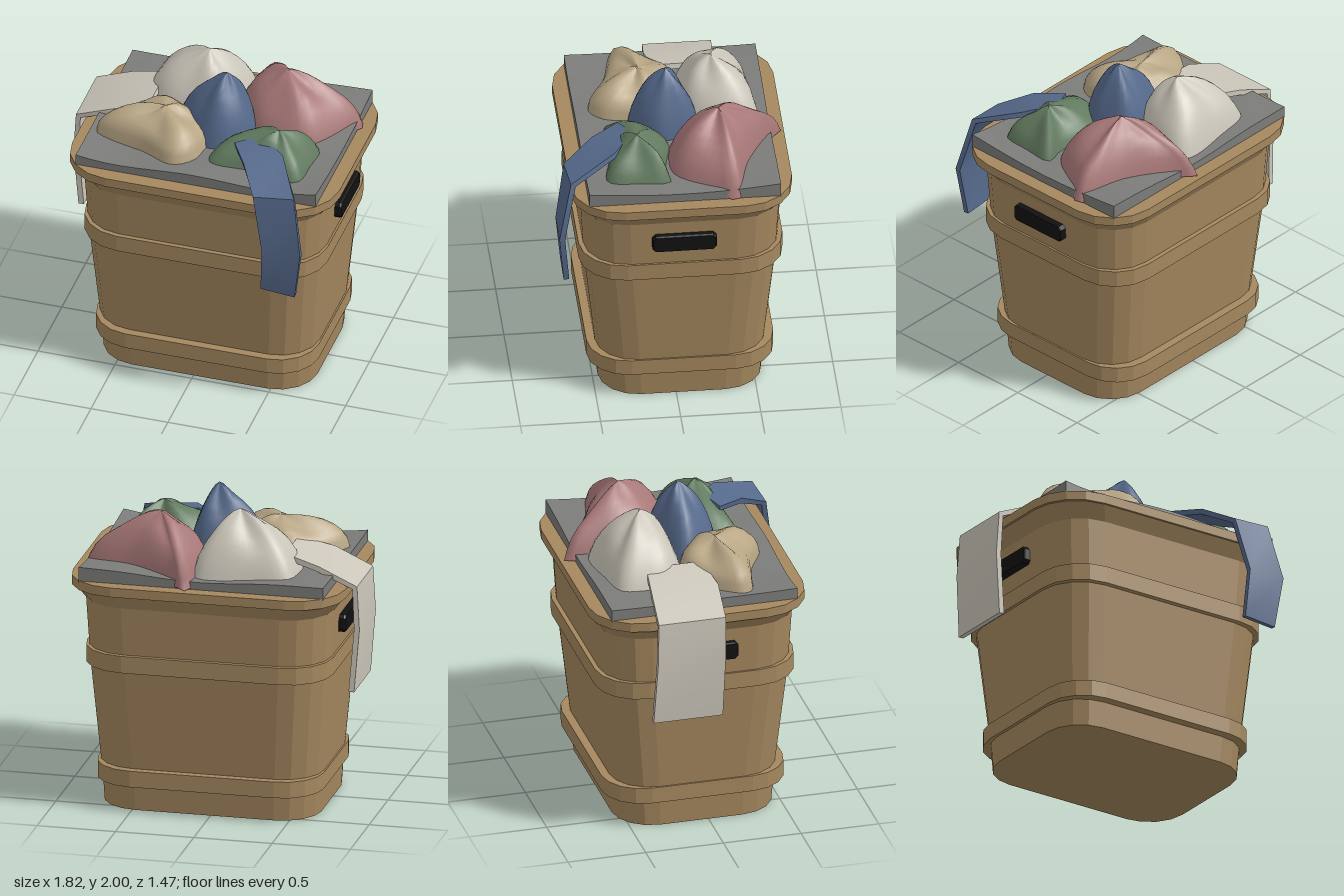
import * as THREE from 'three';
import { toCreasedNormals } from 'three/addons/utils/BufferGeometryUtils.js';

const mat = (name, color, extra = {}) => {
  const m = new THREE.MeshStandardMaterial({ color, ...extra });
  m.name = name;
  return m;
};

// Skin a list of closed rings, each an array of [x, y, z]
function loft(rings) {
  const n = rings[0].length, index = [];
  for (let r = 0; r < rings.length - 1; r++) {
    for (let i = 0; i < n; i++) {
      const j = (i + 1) % n;
      const a = r * n + i, b = r * n + j, c = a + n, d = b + n;
      index.push(a, c, b, b, c, d);
    }
  }
  const g = new THREE.BufferGeometry();
  g.setAttribute('position', new THREE.Float32BufferAttribute(rings.flat(2), 3));
  g.setIndex(index);
  g.computeVertexNormals();
  return g;
}

const CX = 0.04, CZ = -0.045;

// Rounded rectangle ring with four chords per corner
function basketRing([hx, hz, y]) {
  const ring = [], r = 0.36 * hx;
  for (let q = 0; q < 4; q++) {
    const sx = q === 0 || q === 3 ? 1 : -1, sz = q < 2 ? 1 : -1;
    for (let k = 0; k <= 4; k++) {
      const a = (q + k / 4) * Math.PI / 2;
      ring.push([CX + sx * (hx - r) + r * Math.cos(a), y, CZ + sz * (hz - r) + r * Math.sin(a)]);
    }
  }
  return ring;
}

// Crumpled garment: outline [x, z] rising to a peak; puff below 1 flattens the top
function garment(outline, [px, py, pz], baseY, puff, seed) {
  const curve = new THREE.CatmullRomCurve3(
    outline.map(([x, z]) => new THREE.Vector3(x, 0, z)), true, 'centripetal');
  const edge = curve.getSpacedPoints(40).slice(0, 40);
  const profile = [[1, 0], [0.95, 0.13], [0.87, 0.3], [0.75, 0.47], [0.6, 0.62],
    [0.45, 0.74], [0.3, 0.84], [0.15, 0.93], [0, 1]];
  return loft(profile.map(([r, f]) => edge.map((p, i) => {
    const a = i / 40 * Math.PI * 2;
    const wave = Math.sin(a * 3 + seed + r * 4) + 0.6 * Math.sin(a * 5 + seed * 2);
    const fold = 0.016 * wave * 4 * r * (1 - r);
    return [px + (p.x - px) * r, baseY + (py - baseY) * f ** puff + fold, pz + (p.z - pz) * r];
  })));
}

// Draped strip with thickness from pairs of edge points
function strip(sections, thickness) {
  const L = sections.map(s => new THREE.Vector3(...s[0]));
  const R = sections.map(s => new THREE.Vector3(...s[1]));
  const rings = L.map((l, i) => {
    const a = Math.max(i - 1, 0), b = Math.min(i + 1, L.length - 1);
    const along = L[b].clone().add(R[b]).sub(L[a]).sub(R[a]);
    const n = along.cross(R[i].clone().sub(l)).setLength(thickness / 2);
    return [l.clone().add(n), R[i].clone().add(n), R[i].clone().sub(n), l.clone().sub(n)]
      .map(v => v.toArray());
  });
  const cap = i => Array(4).fill(L[i].clone().add(R[i]).multiplyScalar(0.5).toArray());
  return toCreasedNormals(loft([cap(0), ...rings, cap(L.length - 1)]), 0.9);
}

export function createModel() {
  const group = new THREE.Group();
  group.name = 'laundryBasket';
  const add = (name, geometry, material) => {
    const m = new THREE.Mesh(geometry, material);
    m.name = name;
    group.add(m);
    return m;
  };
  const tan = mat('tan plastic', 0xa5885f, { flatShading: true });
  const black = mat('black handle', 0x111111);
  const gray = mat('gray cloth', 0x7c7c7a);
  const white = mat('off white cloth', 0xcbc6ba);
  const pink = mat('pink cloth', 0xa87878);
  const green = mat('green cloth', 0x627b5f);
  const blue = mat('blue cloth', 0x566a8c);
  const beige = mat('beige cloth', 0xb8a685);

  // Basket body: tapered wall, two raised bands, flared rim
  add('basket', loft([
    [0, 0, 0], [0.69, 0.51, 0], [0.70, 0.523, 0.17], [0.72, 0.583, 0.17], [0.72, 0.583, 0.275],
    [0.71, 0.53, 0.275], [0.765, 0.6, 0.93], [0.785, 0.636, 0.93], [0.785, 0.636, 1.04],
    [0.772, 0.607, 1.04], [0.79, 0.625, 1.35], [0.855, 0.675, 1.44], [0.87, 0.69, 1.44],
    [0.87, 0.69, 1.5], [0, 0, 1.5],
  ].map(basketRing)), tan);

  // Side handles with clipped corners
  const slot = new THREE.Shape([[-0.2, -0.035], [-0.18, -0.057], [0.18, -0.057], [0.2, -0.035],
    [0.2, 0.035], [0.18, 0.057], [-0.18, 0.057], [-0.2, 0.035]].map(p => new THREE.Vector2(...p)));
  for (const side of [-1, 1]) {
    const handle = add(side > 0 ? 'leftHandle' : 'rightHandle',
      new THREE.ExtrudeGeometry(slot, { depth: 0.06, bevelEnabled: true, bevelSegments: 1,
        bevelSize: 0.006, bevelOffset: -0.006, bevelThickness: 0.01 }), black);
    handle.rotation.y = side * Math.PI / 2;
    handle.position.set(CX + side * 0.755, 1.21, -0.04);
  }

  // Gray cloth filling the basket up to the rim
  const fill = new THREE.BoxGeometry(1.56, 0.08, 1.195, 16, 1, 12).translate(CX, 1.53, -0.048);
  const p = fill.attributes.position;
  for (let i = 0; i < p.count; i++) {
    if (p.getY(i) < 1.53) continue;
    const x = p.getX(i) - CX, z = p.getZ(i) - CZ;
    const corner = (Math.abs(x) / 0.78) ** 4 * (Math.abs(z) / 0.6) ** 2;
    p.setY(i, 1.56 + 0.012 * Math.sin(x * 6 + z * 3) + 0.02 * corner + 0.008 * x);
  }
  fill.computeVertexNormals();
  add('grayFill', fill, gray);

  // Heaped garments
  add('whiteGarment', garment([[-0.5, -0.52], [-0.26, -0.565], [0.1, -0.565], [0.12, -0.3],
    [0, -0.1], [-0.38, -0.09], [-0.52, -0.22], [-0.53, -0.38]], [-0.13, 1.94, -0.3], 1.53, 0.9, 1), white);
  add('pinkGarment', garment([[0.13, -0.715], [0.2, -0.65], [0.54, -0.48], [0.855, -0.37], [0.81, -0.29],
    [0.65, -0.02], [0.56, 0.03], [0.27, -0.01], [0.06, -0.27], [0.09, -0.56]],
  [0.38, 1.89, -0.3], 1.51, 0.85, 2), pink);
  add('greenGarment', garment([[0.05, 0.39], [0.1, 0.1], [0.27, -0.01], [0.56, 0.04], [0.69, 0.02],
    [0.69, 0.22], [0.66, 0.42], [0.38, 0.39]], [0.48, 1.79, 0.22], 1.53, 1, 3), green);
  add('beigeGarment', garment([[-0.4, -0.1], [-0.27, -0.09], [0.02, 0.1], [0.01, 0.25], [-0.02, 0.39],
    [-0.14, 0.47], [-0.36, 0.36], [-0.71, 0.25], [-0.64, 0.1]], [-0.28, 1.77, 0.14], 1.53, 0.5, 4), beige);
  add('blueGarment', garment([[-0.26, -0.03], [-0.17, -0.12], [0.08, -0.21], [0.2, -0.17], [0.26, -0.02],
    [0.26, 0.08], [0.15, 0.21], [0.03, 0.24], [-0.12, 0.18], [-0.2, 0.1]],
  [0.075, 2.0, 0], 1.53, 0.95, 5), blue);

  // Sleeves hanging over the rim
  add('blueSleeve', strip([
    [[0.22, 1.69, 0.31], [0.38, 1.72, 0.23]],
    [[0.33, 1.67, 0.48], [0.55, 1.69, 0.36]],
    [[0.45, 1.57, 0.66], [0.71, 1.59, 0.64]],
    [[0.525, 1.23, 0.715], [0.775, 1.23, 0.715]],
    [[0.51, 0.92, 0.685], [0.73, 0.9, 0.685]],
  ], 0.035), blue);
  add('whiteSleeve', strip([
    [[-0.42, 1.66, -0.34], [-0.42, 1.66, 0.02]],
    [[-0.64, 1.6, -0.365], [-0.64, 1.6, 0.065]],
    [[-0.88, 1.5, -0.385], [-0.88, 1.5, 0.045]],
    [[-0.895, 1.23, -0.395], [-0.895, 1.23, 0.04]],
    [[-0.865, 0.83, -0.415], [-0.865, 0.83, 0.03]],
  ], 0.035), white);

  return group;
}
